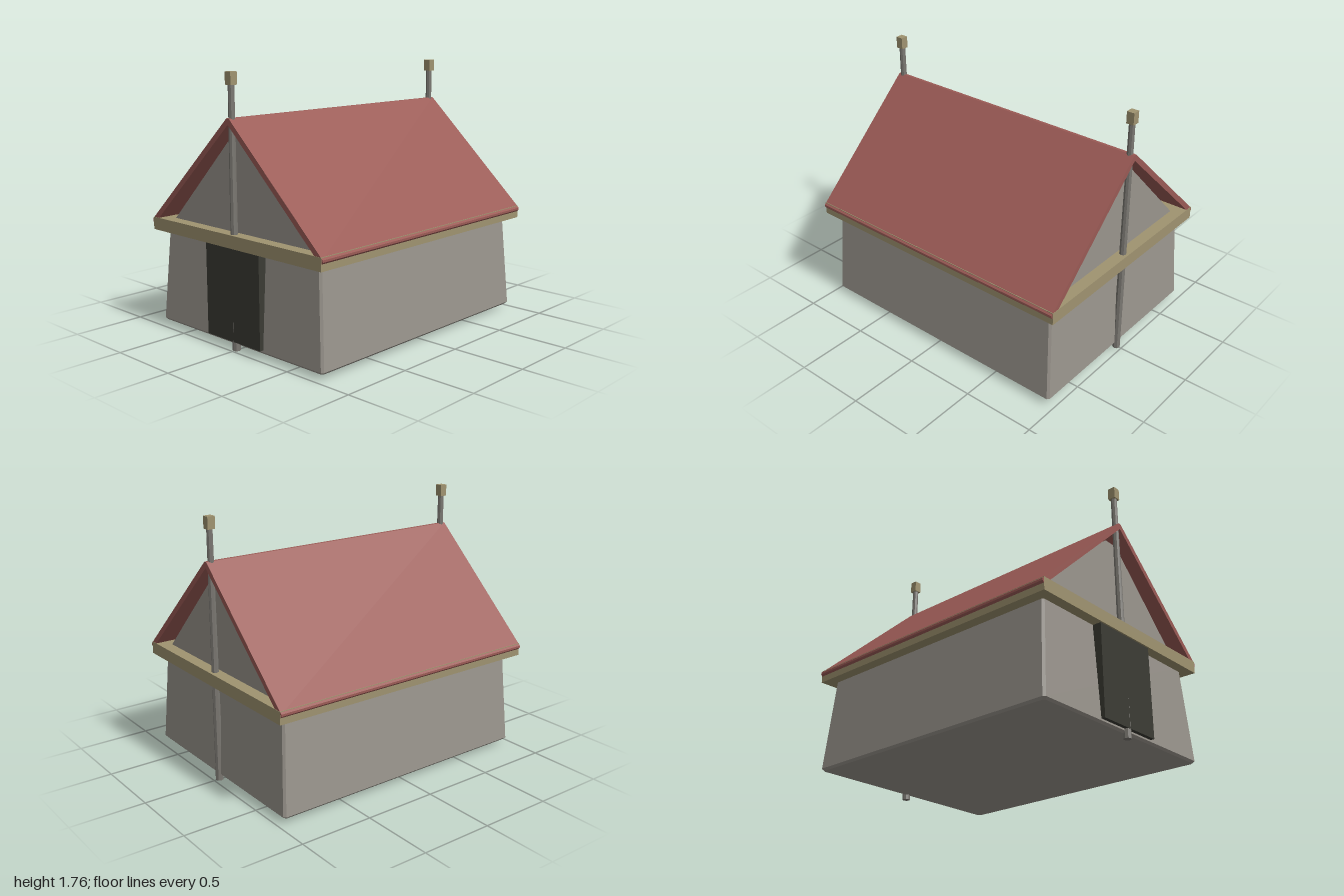
import * as THREE from 'three';

const mat = (name, color, side = THREE.FrontSide) => {
  const m = new THREE.MeshStandardMaterial({ color, side });
  m.name = name;
  return m;
};

// Tapered block with chamfered corners; each ring is [y, halfX, halfZ]
function taperedBlock(rings, c) {
  const pos = [], idx = [], n = 8;
  for (const [y, x, z] of rings) {
    const loop = [[x, z - c], [x - c, z], [c - x, z], [-x, z - c],
      [-x, c - z], [c - x, -z], [x - c, -z], [x, c - z]];
    for (const [px, pz] of loop) pos.push(px, y, pz);
  }
  for (let r = 0; r < rings.length - 1; r++) {
    for (let i = 0; i < n; i++) {
      const a = r * n + i, b = r * n + (i + 1) % n;
      idx.push(a, a + n, b, b, a + n, b + n);
    }
  }
  const top = (rings.length - 1) * n;
  for (let i = 1; i < n - 1; i++) {
    idx.push(0, i, i + 1);
    idx.push(top, top + i + 1, top + i);
  }
  const g = new THREE.BufferGeometry();
  g.setAttribute('position', new THREE.Float32BufferAttribute(pos, 3));
  g.setIndex(idx);
  const flat = g.toNonIndexed();
  flat.computeVertexNormals();
  return flat;
}

// Outline in x and y, extruded symmetrically along z
function extrudeZ(points, halfDepth) {
  const shape = new THREE.Shape(points.map(([x, y]) => new THREE.Vector2(x, y)));
  const g = new THREE.ExtrudeGeometry(shape, { depth: 2 * halfDepth, bevelEnabled: false });
  return g.translate(0, 0, -halfDepth);
}

export function createModel() {
  const group = new THREE.Group();
  const wall = mat('plaster', 0x9a958d, THREE.DoubleSide);
  const roof = mat('red roof', 0x9a5a55);
  const wood = mat('pale wood', 0x9f9370);
  const dark = mat('dark doorway', 0x3b3b34);
  const pole = mat('grey timber', 0x7b7872);

  const add = (name, geometry, material, x = 0, y = 0, z = 0) => {
    const mesh = new THREE.Mesh(geometry, material);
    mesh.name = name;
    mesh.position.set(x, y, z);
    group.add(mesh);
    return mesh;
  };

  // Lower walls, narrowing upwards
  add('walls', taperedBlock([[0.033, 0.748, 0.95], [0.048, 0.762, 0.963], [0.7, 0.714, 0.928]], 0.014), wall);

  // Eaves slab and gable block
  add('eavesBeam', new THREE.BoxGeometry(1.58, 0.085, 2), wood, 0, 0.7125, 0);
  add('gable', extrudeZ([[-0.655, 0.75], [0.655, 0.75], [0.055, 1.36], [-0.055, 1.36]], 0.92), wall);

  // Doorway
  add('doorway', new THREE.BoxGeometry(0.5, 0.62, 0.1), dark, 0, 0.37, 0.939);

  // Roof panels with chamfered long edges
  const slope = Math.atan2(0.733, 0.785);
  const len = Math.hypot(0.733, 0.785);
  const t = 0.018, c = 0.01, a = -0.013, b = len + 0.015;
  const section = [[a + c, -t], [b - c, -t], [b, c - t], [b, t - c],
    [b - c, t], [a + c, t], [a, t - c], [a, c - t]];
  for (const side of [1, -1]) {
    const panel = extrudeZ(section.map(([x, y]) => [x, y]), 0.998);
    panel.rotateZ(-slope);
    if (side < 0) panel.rotateY(Math.PI);
    add(side > 0 ? 'roofLeft' : 'roofRight', panel, roof, 0, 1.464, 0);
  }

  // Ridge posts with square caps at both ends
  for (const z of [0.964, -0.96]) {
    const end = z > 0 ? 'front' : 'back';
    const post = new THREE.CylinderGeometry(0.02, 0.026, 1.7, 8).toNonIndexed();
    post.computeVertexNormals();
    add(end + 'Post', post, pole, 0, 0.85, z);
    add(end + 'PostCap', new THREE.BoxGeometry(0.052, 0.08, 0.052), wood, 0, 1.72, z);
  }
  return group;
}
